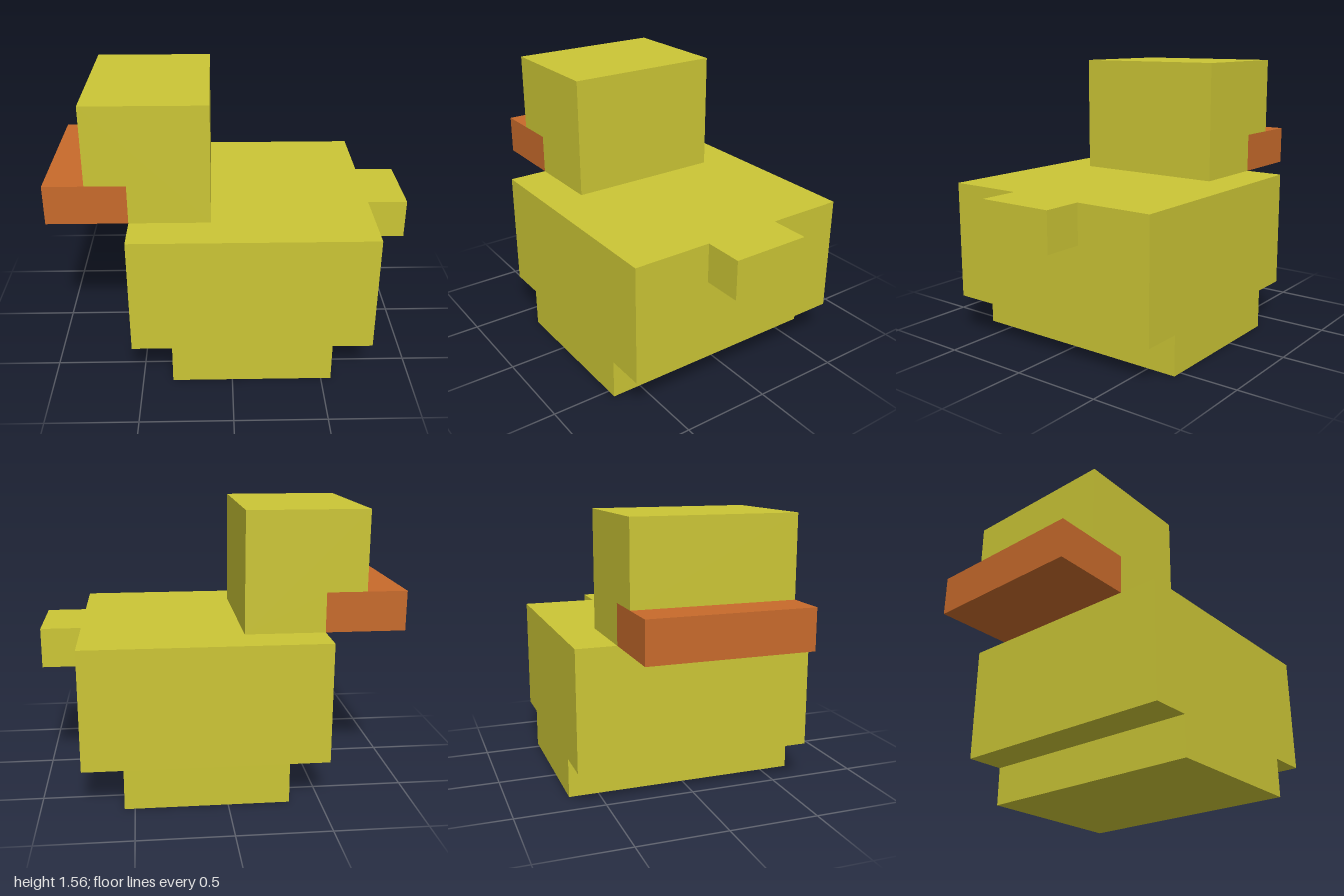
import * as THREE from 'three';

const U = 2 / 9; // one block unit

export function createModel() {
  const group = new THREE.Group();
  const yellow = new THREE.MeshStandardMaterial({ color: 0xcbc535 });
  yellow.name = 'yellow';
  const orange = new THREE.MeshStandardMaterial({ color: 0xc76a2b });
  orange.name = 'orange';

  // Extrudes a side outline (x, y in block units) symmetrically across z
  function slab(name, outline, depth, material) {
    const shape = new THREE.Shape(outline.map(([x, y]) => new THREE.Vector2(x * U, y * U)));
    const geometry = new THREE.ExtrudeGeometry(shape, { depth: depth * U, bevelEnabled: false });
    geometry.translate(0, 0, -depth * U / 2);
    const mesh = new THREE.Mesh(geometry, material);
    mesh.name = name;
    group.add(mesh);
  }

  const rect = (x0, x1, y0, y1) => [[x0, y0], [x1, y0], [x1, y1], [x0, y1]];

  // Body with its narrower stepped base
  slab('body', [[-1.5, 0], [2.5, 0], [2.5, 1], [3.5, 1], [3.5, 4], [-2.5, 4], [-2.5, 1], [-1.5, 1]], 6, yellow);

  // Tail stub flush with the top of the back
  slab('tail', rect(3.5, 4.5, 3, 4), 2, yellow);

  // Head, notched so the beak sits flush with its sides
  slab('head', [[-2.5, 4], [-0.5, 4], [-0.5, 7], [-3.5, 7], [-3.5, 5], [-2.5, 5]], 4, yellow);

  // Wide flat beak
  slab('beak', rect(-4.5, -2.5, 4, 5), 4, orange);

  return group;
}
